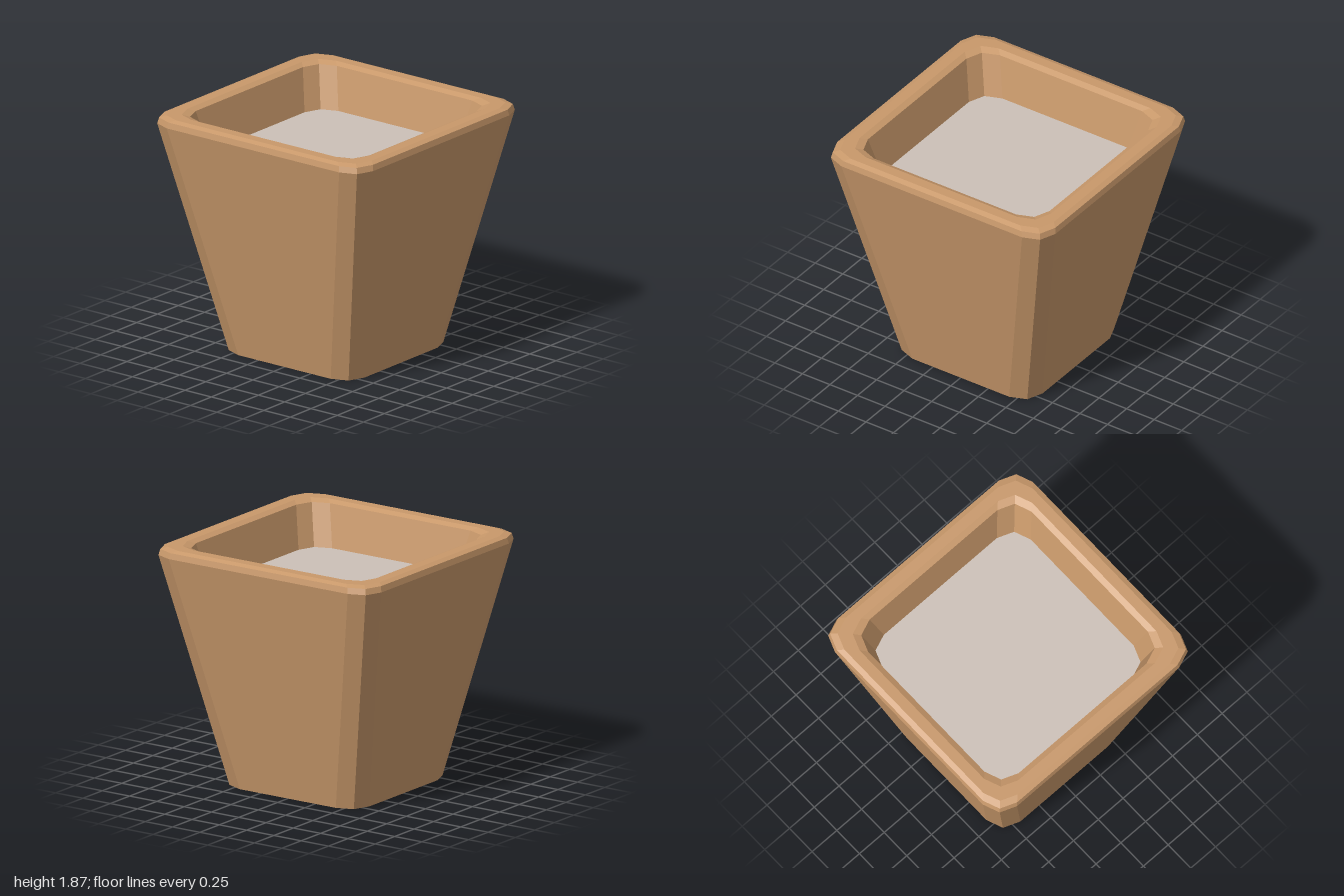
import * as THREE from 'three';

// Square outline of half-width h with two-facet bevelled corners, as [x, z] points
function outline(h) {
  const corner = [[h, h - 0.18], [h - 0.05, h - 0.05], [h - 0.18, h]];
  const points = [];
  for (let k = 0; k < 4; k++) {
    for (let [x, z] of corner) {
      for (let r = 0; r < k; r++) [x, z] = [-z, x];
      points.push([x, z]);
    }
  }
  return points;
}

// Skin a profile of [halfWidth, height] pairs around the outline
function loft(profile) {
  const positions = [], index = [];
  for (const [h, y] of profile) {
    for (const [x, z] of outline(h)) positions.push(x, y, z);
  }
  const n = 12;
  for (let i = 0; i < profile.length - 1; i++) {
    for (let j = 0; j < n; j++) {
      const a = i * n + j, c = i * n + (j + 1) % n;
      index.push(a, a + n, c, c, a + n, c + n);
    }
  }
  const geometry = new THREE.BufferGeometry();
  geometry.setAttribute('position', new THREE.Float32BufferAttribute(positions, 3));
  geometry.setIndex(index);
  geometry.computeVertexNormals();
  return geometry;
}

// Flat panel filling the outline, facing up or down
function panel(h, y, up) {
  const shape = new THREE.Shape(outline(h).map(([x, z]) => new THREE.Vector2(x, z)));
  return new THREE.ShapeGeometry(shape).rotateX(up ? -Math.PI / 2 : Math.PI / 2).translate(0, y, 0);
}

export function createModel() {
  const model = new THREE.Group();
  model.name = 'planter';
  const clay = new THREE.MeshStandardMaterial({ color: 0xc8986a, flatShading: true });
  const filling = new THREE.MeshStandardMaterial({ color: 0xccc0b7, flatShading: true });

  const add = (name, geometry, material) => {
    const mesh = new THREE.Mesh(geometry, material);
    mesh.name = name;
    model.add(mesh);
  };

  // Tapered outer wall, softened rim and inner wall in one skin
  add('potWall', loft([
    [0.62, 0], [1, 1.81], [0.99, 1.855], [0.95, 1.87],
    [0.87, 1.87], [0.825, 1.85], [0.75, 1.53],
  ]), clay);
  add('potBase', panel(0.62, 0, false), clay);

  // Surface of the contents
  add('soil', panel(0.75, 1.53, true), filling);

  return model;
}
